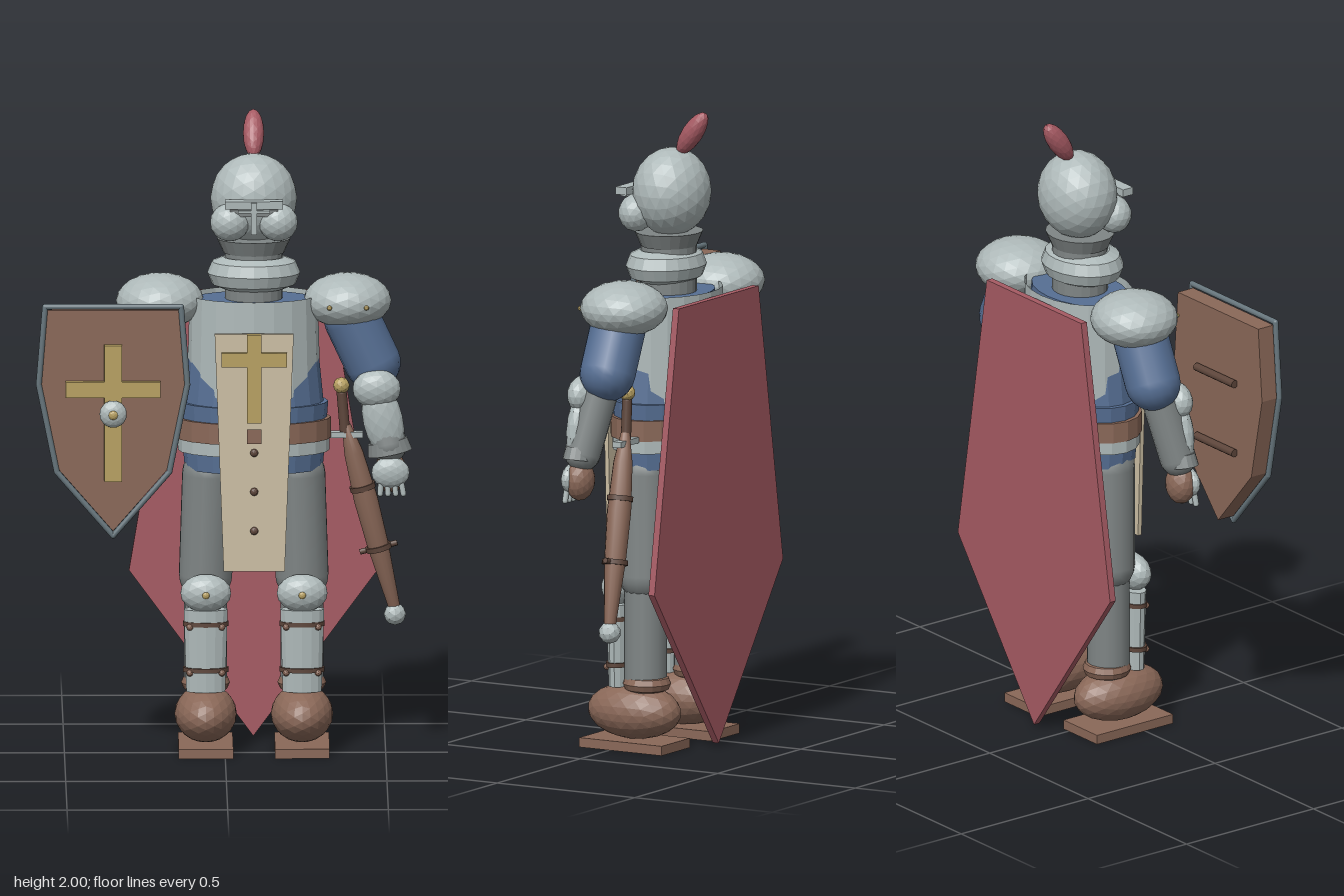
import * as THREE from 'three';

const mat = (name, color) => Object.assign(new THREE.MeshStandardMaterial({ color }), { name });
const steel = mat('steel', 0xaeb9b9), mail = mat('mail', 0x7f8585), brown = mat('brown leather', 0x8a6858),
  dark = mat('dark leather', 0x5e463b), red = mat('red cloth', 0xa65a63), blue = mat('blue cloth', 0x566f94),
  cream = mat('cream cloth', 0xcdc0a5), gold = mat('gold', 0xb8a162), rimMat = mat('shield rim', 0x66757c);
steel.side = mail.side = THREE.DoubleSide;

const V = (x, y, z) => new THREE.Vector3(x, y, z);

// Faceted normals
function flat(g) {
  const f = g.index ? g.toNonIndexed() : g;
  f.computeVertexNormals();
  return f;
}

function add(parent, name, geo, material, pos = [0, 0, 0]) {
  const m = new THREE.Mesh(geo, material);
  m.name = name;
  m.position.set(...pos);
  parent.add(m);
  return m;
}

// Faceted ellipsoid
function ball(parent, name, material, pos, r, detail = 3) {
  const g = new THREE.IcosahedronGeometry(1, detail).scale(...r);
  return add(parent, name, flat(g), material, pos);
}

const box = (parent, name, material, pos, size) =>
  add(parent, name, new THREE.BoxGeometry(...size), material, pos);

// Aim a y-axis mesh from a to b
function aim(mesh, a, b) {
  mesh.position.copy(a).add(b).multiplyScalar(0.5);
  mesh.quaternion.setFromUnitVectors(V(0, 1, 0), b.clone().sub(a).normalize());
  return mesh;
}

function limb(parent, name, material, a, b, r) {
  return aim(add(parent, name, new THREE.CapsuleGeometry(r, a.distanceTo(b), 6, 16), material), a, b);
}

// Oval band of given half widths at bottom and top
function oval(parent, name, material, y0, y1, rb, rt, depth, z, open = false) {
  const g = new THREE.CylinderGeometry(rt, rb, y1 - y0, 20, 1, open).scale(1, 1, depth);
  return add(parent, name, flat(g), material, [0, (y0 + y1) / 2, z]);
}

function plate(parent, name, material, pts, z0, z1) {
  const shape = new THREE.Shape(pts.map(p => new THREE.Vector2(...p)));
  const g = new THREE.ExtrudeGeometry(shape, { depth: z1 - z0, bevelEnabled: false });
  return add(parent, name, g, material, [0, 0, z0]);
}

function addHead(body) {
  ball(body, 'helmet', steel, [0, 1.74, -0.085], [0.135, 0.14, 0.12]);
  for (const s of [-1, 1]) ball(body, 'cheekGuard', steel, [s * 0.075, 1.677, -0.002], [0.062, 0.06, 0.055], 2);
  box(body, 'visorBrow', steel, [0, 1.742, 0.045], [0.18, 0.024, 0.04]);
  box(body, 'eyeSlit', mail, [0, 1.712, 0.033], [0.15, 0.022, 0.008]);
  box(body, 'visorBar', steel, [0, 1.722, 0.06], [0.1, 0.008, 0.02]);
  box(body, 'noseBar', steel, [0, 1.7, 0.062], [0.018, 0.1, 0.02]);
  const plume = ball(body, 'plume', red, [0, 1.93, -0.16], [0.033, 0.083, 0.033], 2);
  plume.rotation.x = -0.62;
  // Neck and gorget
  oval(body, 'neck', mail, 1.42, 1.6, 0.09, 0.09, 0.95, -0.075);
  oval(body, 'neckLame', mail, 1.57, 1.615, 0.095, 0.115, 0.9, -0.075);
  const ring = new THREE.TorusGeometry(0.095, 0.05, 8, 20).rotateX(Math.PI / 2).scale(1, 1, 0.82);
  add(body, 'gorget', flat(ring), steel, [0, 1.508, -0.065]);
}

function addTorso(body) {
  oval(body, 'tunic', blue, 1.05, 1.425, 0.222, 0.185, 0.68, -0.075);
  oval(body, 'breastplate', steel, 1.1, 1.435, 0.208, 0.2, 0.74, -0.08, true);
  oval(body, 'tunicSkirt', blue, 0.89, 1.1, 0.215, 0.232, 0.66, -0.075);
  oval(body, 'fauld', steel, 0.945, 0.99, 0.236, 0.236, 0.64, -0.075);
  oval(body, 'belt', brown, 0.985, 1.05, 0.24, 0.24, 0.64, -0.072);
  // Tabard with cross and studs
  plate(body, 'tabard', cream, [[-0.123, 1.34], [-0.095, 0.59], [0.095, 0.59], [0.123, 1.34]], 0.08, 0.094);
  box(body, 'tabardCrossUpright', gold, [0, 1.2, 0.1], [0.045, 0.28, 0.016]);
  box(body, 'tabardCrossBar', gold, [0, 1.26, 0.1], [0.205, 0.045, 0.016]);
  box(body, 'buckle', brown, [0, 1.017, 0.096], [0.045, 0.045, 0.01]);
  for (const y of [0.965, 0.842, 0.718]) ball(body, 'stud', dark, [0, y, 0.096], [0.013, 0.013, 0.01], 1);
  // Cape
  plate(body, 'cape', red, [[-0.24, 1.42], [-0.387, 0.535], [0, 0.01], [0.387, 0.535], [0.24, 1.42]], -0.256, -0.234);
}

function addArm(body, s) {
  ball(body, 'pauldron', steel, [s * 0.292, 1.415, -0.088], [0.137, 0.086, 0.137]);
  for (const x of [0.235, 0.35]) ball(body, 'pauldronRivet', gold, [s * x, 1.412, 0.036], [0.008, 0.008, 0.008], 1);
  limb(body, 'upperArm', blue, V(s * 0.305, 1.36, -0.075), V(s * 0.37, 1.22, -0.075), 0.088);
  ball(body, 'elbowGuard', steel, [s * 0.382, 1.15, 0], [0.076, 0.062, 0.047], 2);
  limb(body, 'forearm', mail, V(s * 0.378, 1.15, -0.05), V(s * 0.42, 0.97, -0.015), 0.057);
  const vambrace = ball(body, 'vambrace', steel, [s * 0.402, 1.05, 0], [0.063, 0.12, 0.04], 2);
  vambrace.rotation.z = s * 0.22;
  const cuff = oval(body, 'cuff', mail, 0.945, 0.985, 0.07, 0.062, 0.75, -0.01);
  cuff.position.x = s * 0.42;
  cuff.rotation.z = s * 0.2;
  // Gauntlet
  ball(body, 'glove', brown, [s * 0.425, 0.885, -0.008], [0.052, 0.065, 0.046], 2);
  ball(body, 'handPlate', steel, [s * 0.425, 0.888, 0.016], [0.06, 0.05, 0.028], 2);
  for (let i = 0; i < 4; i++)
    limb(body, 'finger', steel, V(s * (0.395 + i * 0.021), 0.86, 0.02), V(s * (0.393 + i * 0.024), 0.822, 0.022), 0.009);
}

function addLeg(body, s) {
  const x = s * 0.15;
  limb(body, 'thigh', mail, V(s * 0.14, 0.87, -0.072), V(x, 0.55, -0.08), 0.084);
  limb(body, 'shin', mail, V(x, 0.52, -0.08), V(x, 0.22, -0.08), 0.067);
  ball(body, 'kneeGuard', steel, [x, 0.507, 0.013], [0.08, 0.06, 0.048], 2);
  ball(body, 'kneeRivet', gold, [x, 0.507, 0.058], [0.012, 0.012, 0.008], 1);
  // Greave with straps
  const greave = new THREE.CylinderGeometry(0.07, 0.062, 0.26, 14).scale(1, 1, 0.55);
  add(body, 'greave', flat(greave), steel, [x, 0.325, 0.004]);
  for (const y of [0.41, 0.265]) {
    const strap = new THREE.CylinderGeometry(0.072, 0.072, 0.014, 14).scale(1, 1, 0.58);
    add(body, 'greaveStrap', strap, dark, [x, y, 0.004]);
    for (const k of [-1, 1]) ball(body, 'strapStud', brown, [x + k * 0.05, y - 0.008, 0.03], [0.011, 0.011, 0.011], 1);
  }
  // Boot
  ball(body, 'boot', brown, [x, 0.117, -0.04], [0.097, 0.088, 0.16]);
  const ring = new THREE.TorusGeometry(0.05, 0.026, 8, 16).rotateX(Math.PI / 2);
  add(body, 'bootCuff', flat(ring), brown, [x, 0.208, -0.085]);
  box(body, 'sole', brown, [x, 0.015, -0.04], [0.17, 0.03, 0.3]);
}

function addSword(body) {
  const top = V(0.288, 1.02, -0.09), tip = V(0.44, 0.43, -0.125);
  const len = top.distanceTo(tip), h = len / 2;
  const profile = [[0, -h], [0.018, -h], [0.034, -h * 0.3], [0.038, h * 0.2], [0.03, h * 0.7], [0.014, h], [0, h]];
  const geo = new THREE.LatheGeometry(profile.map(p => new THREE.Vector2(...p)), 14);
  const sheath = aim(add(body, 'scabbard', geo, brown), tip, top);
  for (const y of [-0.1, 0.1]) {
    const band = new THREE.CylinderGeometry(0.041, 0.041, 0.016, 14);
    add(sheath, 'scabbardBand', band, dark, [0, y, 0]);
  }
  add(sheath, 'bandPeg', new THREE.CylinderGeometry(0.009, 0.009, 0.12, 8).rotateZ(Math.PI / 2), dark, [0, -0.1, 0]);
  ball(body, 'scabbardTip', steel, [0.44, 0.415, -0.125], [0.035, 0.035, 0.035], 1);
  box(body, 'crossguard', steel, [0.285, 0.99, -0.09], [0.11, 0.018, 0.03]);
  limb(body, 'grip', dark, V(0.284, 1.0, -0.09), V(0.274, 1.12, -0.088), 0.016);
  ball(body, 'pommel', gold, [0.273, 1.145, -0.088], [0.026, 0.026, 0.026], 1);
}

function addShield(root) {
  const shield = new THREE.Group();
  shield.name = 'shield';
  shield.position.x = -0.35;
  const half = [[0.215, 1.45], [0.235, 1.2], [0.178, 0.92]];
  const outline = k => {
    const right = half.map(([x, y]) => [x * k, 1.12 + (y - 1.12) * k]);
    return [...right, [0, 1.12 - 0.405 * k], ...right.map(([x, y]) => [-x, y]).reverse()];
  };
  plate(shield, 'shieldBoard', brown, outline(0.95), 0.128, 0.188);
  // Rim
  const pts = outline(0.985);
  pts.forEach((p, i) => {
    const q = pts[(i + 1) % pts.length];
    limb(shield, 'shieldRim', rimMat, V(...p, 0.19), V(...q, 0.19), 0.009);
  });
  // Cross and boss
  box(shield, 'shieldCrossUpright', gold, [0, 1.11, 0.198], [0.055, 0.43, 0.022]);
  box(shield, 'shieldCrossBar', gold, [0, 1.185, 0.198], [0.295, 0.05, 0.022]);
  ball(shield, 'boss', steel, [0, 1.112, 0.225], [0.043, 0.043, 0.025], 2);
  ball(shield, 'bossCentre', gold, [0, 1.112, 0.247], [0.015, 0.015, 0.008], 1);
  // Arm straps
  for (const y of [1.22, 0.99])
    add(shield, 'armStrap', new THREE.CylinderGeometry(0.013, 0.013, 0.195, 10).rotateZ(Math.PI / 2), dark, [0, y, 0.118]);
  root.add(shield);
}

export function createModel() {
  const root = new THREE.Group();
  root.name = 'knight';
  const body = new THREE.Group();
  body.name = 'body';
  body.position.x = 0.09;
  root.add(body);
  addHead(body);
  addTorso(body);
  for (const s of [-1, 1]) {
    addArm(body, s);
    addLeg(body, s);
  }
  addSword(body);
  addShield(root);
  return root;
}
